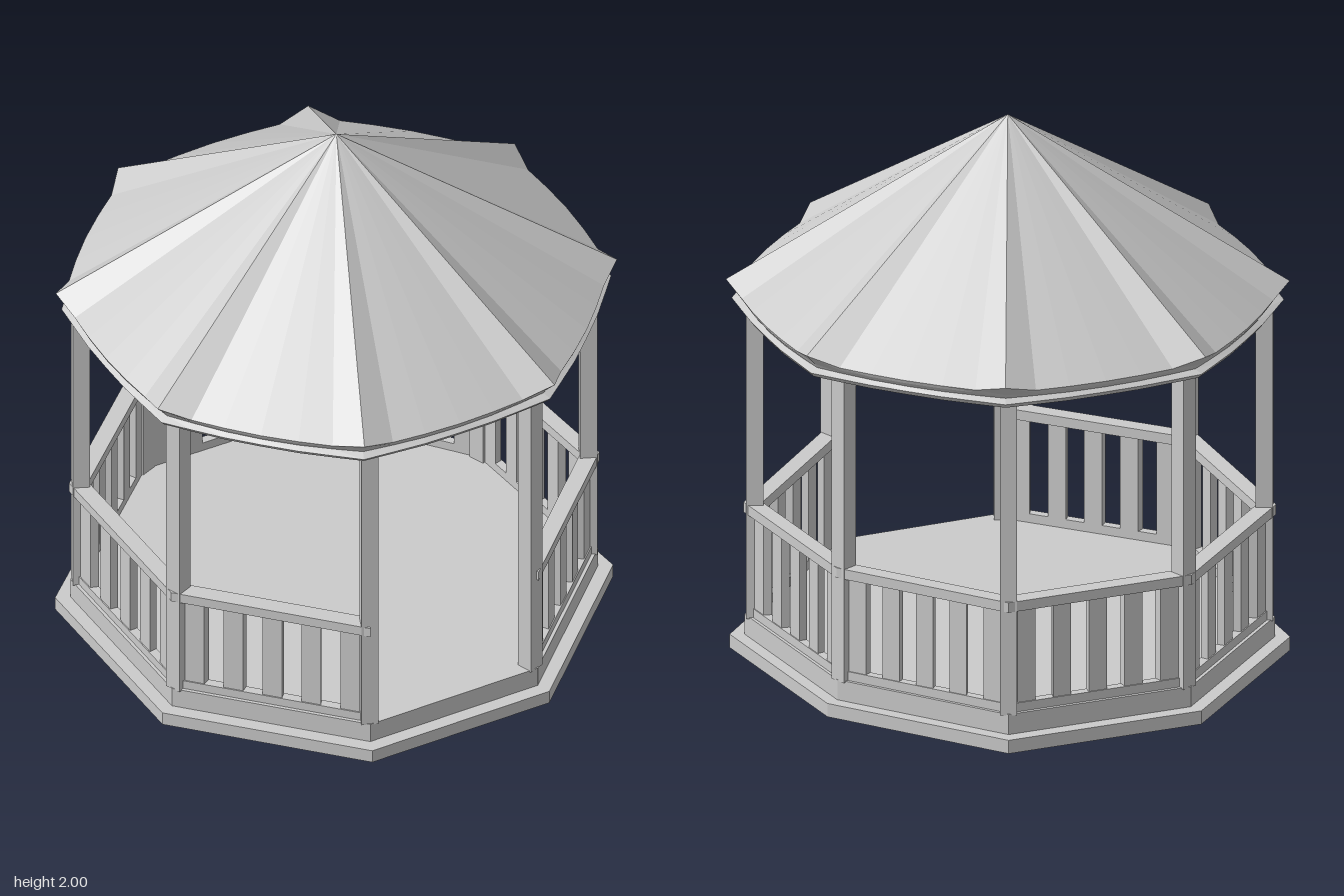
import * as THREE from 'three';

const mat = new THREE.MeshStandardMaterial({ color: 0xcccccc, flatShading: true });

// Post centres [x, z] around the slightly uneven octagon
const corners = [
  [0.74, 0.47], [0.23, 0.85], [-0.45, 0.745], [-0.865, 0.2],
  [-0.74, -0.455], [-0.21, -0.835], [0.415, -0.68], [0.85, -0.205],
];

const scaled = (p, s) => [p[0] * s, p[1] * s];
const lerp = (a, b, t) => [a[0] + (b[0] - a[0]) * t, a[1] + (b[1] - a[1]) * t];

function add(parent, geometry, name) {
  const mesh = new THREE.Mesh(geometry, mat);
  mesh.name = name;
  parent.add(mesh);
  return mesh;
}

// Upright prism over a floor outline of [x, z] points
function prism(points, y0, y1) {
  const shape = new THREE.Shape(points.map(([x, z]) => new THREE.Vector2(x, -z)));
  const geo = new THREE.ExtrudeGeometry(shape, { depth: y1 - y0, bevelEnabled: false });
  return geo.rotateX(-Math.PI / 2).translate(0, y0, 0);
}

// Piece of wall between two corners, from t0 to t1 along the side
function wall(a, b, t0, t1, inner, outer, y0, y1) {
  const p = lerp(a, b, t0), q = lerp(a, b, t1);
  return prism([scaled(p, inner), scaled(q, inner), scaled(q, outer), scaled(p, outer)], y0, y1);
}

// Top rail, bottom board and five wide balusters
function railing(a, b) {
  const group = new THREE.Group();
  group.name = 'railing';
  add(group, wall(a, b, 0, 1, 0.97, 1.045, 0.508, 0.545), 'handrail');
  add(group, wall(a, b, 0, 1, 0.985, 1.025, 0.125, 0.158), 'bottomBoard');
  const start = 0.05, slot = 0.9 / 9;
  for (let i = 0; i < 5; i++) {
    const t = start + 2 * i * slot;
    add(group, wall(a, b, t, t + slot, 0.985, 1.02, 0.158, 0.508), 'baluster');
  }
  return group;
}

// Hollow roof: cross-section rings with raised hips at the eight corners
function roofGeometry() {
  const offsets = [0, 6.5, 14, 22.5, 31, 38.5];
  // Each ring: radius and height at the hip, then radii near it, further and mid-side, and their height
  const rings = [
    [0, 2, 0, 0, 0, 2],
    [0.975, 1.38, 0.925, 0.91, 0.905, 1.35],
    [0.935, 1.338, 0.918, 0.905, 0.9, 1.338],
    [0.925, 1.322, 0.905, 0.893, 0.888, 1.322],
    [0.955, 1.31, 0.928, 0.912, 0.904, 1.31],
    [0.94, 1.293, 0.915, 0.9, 0.892, 1.293],
    [0.865, 1.293, 0.855, 0.845, 0.84, 1.293],
    [0.865, 1.335, 0.855, 0.845, 0.84, 1.335],
    [0, 1.96, 0, 0, 0, 1.96],
  ];
  const n = 48, pos = [], index = [];
  rings.forEach(([rHip, yHip, rNear, rFar, rMid, y]) => {
    const radii = [rHip, rNear, rFar, rMid, rFar, rNear];
    for (let i = 0; i < n; i++) {
      const k = i % 6;
      const angle = THREE.MathUtils.degToRad(31.5 + 45 * Math.floor(i / 6) + offsets[k]);
      pos.push(radii[k] * Math.cos(angle), k === 0 ? yHip : y, radii[k] * Math.sin(angle));
    }
  });
  for (let j = 0; j < rings.length - 1; j++) {
    for (let i = 0; i < n; i++) {
      const a = j * n + i, b = j * n + (i + 1) % n, c = a + n, d = b + n;
      if (j > 0) index.push(a, b, c);
      if (j < rings.length - 2) index.push(b, d, c);
      else continue;
    }
  }
  const geo = new THREE.BufferGeometry();
  geo.setAttribute('position', new THREE.Float32BufferAttribute(pos, 3));
  geo.setIndex(index);
  geo.computeVertexNormals();
  return geo;
}

export function createModel() {
  const model = new THREE.Group();
  model.name = 'gazebo';

  // Two-step floor
  add(model, prism(corners.map((p) => scaled(p, 1.1)), 0, 0.05), 'baseStep');
  add(model, prism(corners.map((p) => scaled(p, 1.04)), 0.05, 0.125), 'floor');

  // Posts, turned to face outwards
  corners.forEach(([x, z]) => {
    const post = add(model, new THREE.BoxGeometry(0.06, 1.19, 0.06), 'post');
    post.position.set(x, 0.715, z);
    post.rotation.y = Math.atan2(x, z);
  });

  // Railings on every side but the entrance (first side)
  for (let i = 1; i < 8; i++) model.add(railing(corners[i], corners[(i + 1) % 8]));

  add(model, roofGeometry(), 'roof');
  return model;
}
